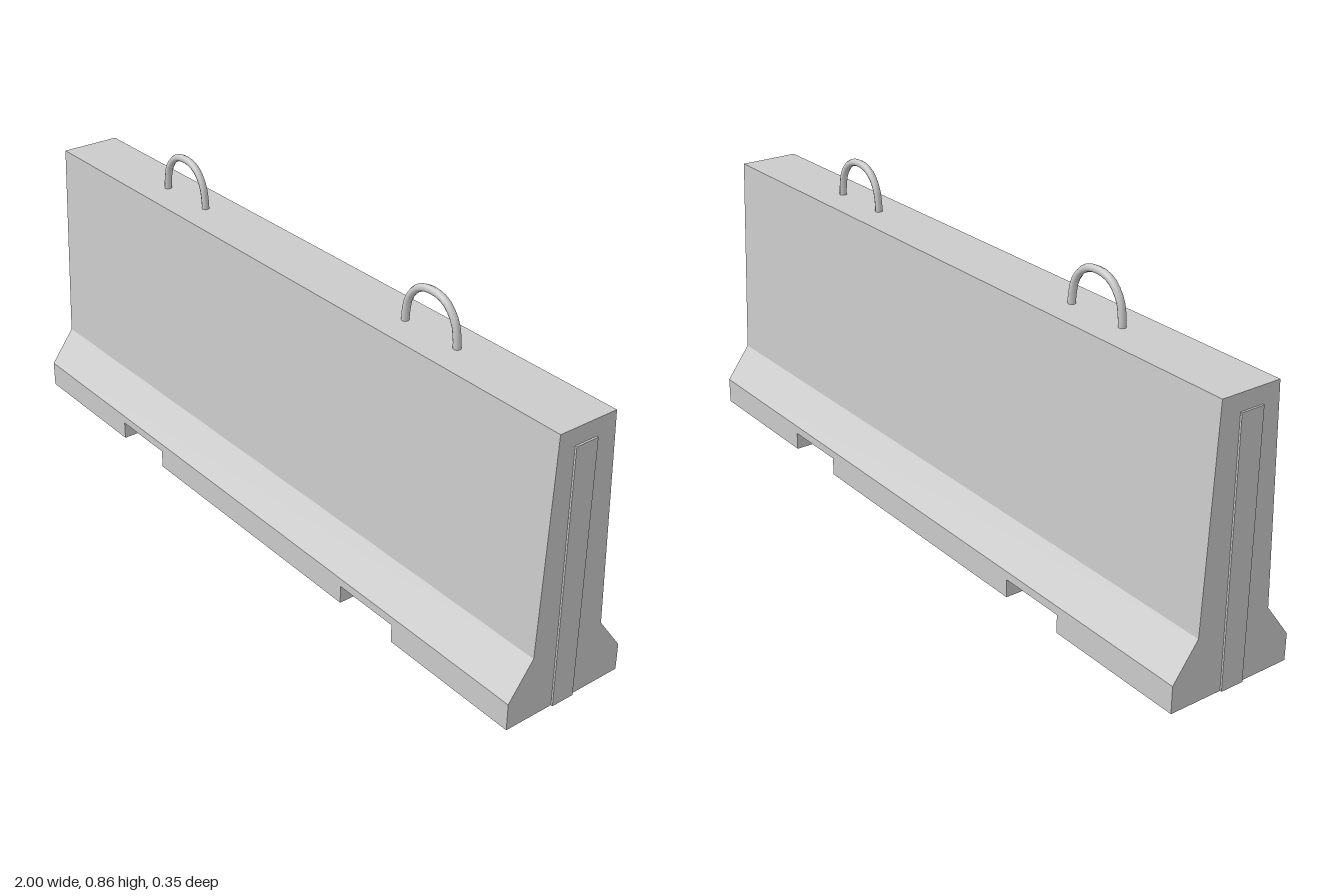
import * as THREE from 'three';

const material = new THREE.MeshStandardMaterial({ color: 0xcccccc });

function addMesh(parent, name, geometry, x = 0, y = 0, z = 0) {
  const mesh = new THREE.Mesh(geometry, material);
  mesh.name = name;
  mesh.position.set(x, y, z);
  parent.add(mesh);
  return mesh;
}

export function createModel() {
  const group = new THREE.Group();
  group.name = 'concreteBarrier';
  const halfLength = 0.995, notchHeight = 0.05, baseHalf = 0.177;

  // Barrier wall: half profile (z, y), mirrored and swept along x
  const half = [[baseHalf, notchHeight], [baseHalf, 0.073], [0.107, 0.168], [0.084, 0.741]];
  const outline = [...half, ...half.map(([z, y]) => [-z, y]).reverse()];
  const profile = new THREE.Shape(outline.map(([z, y]) => new THREE.Vector2(z, y)));
  const wall = new THREE.ExtrudeGeometry(profile, { depth: 2 * halfLength, bevelEnabled: false });
  wall.translate(0, 0, -halfLength).rotateY(Math.PI / 2);
  addMesh(group, 'wall', wall);

  // Feet, leaving two lifting notches between them
  for (const [name, x0, x1] of [
    ['rightFoot', -halfLength, -0.595], ['middleFoot', -0.4, 0.4], ['leftFoot', 0.595, halfLength],
  ]) {
    addMesh(group, name, new THREE.BoxGeometry(x1 - x0, notchHeight, 2 * baseHalf),
      (x0 + x1) / 2, notchHeight / 2, 0);
  }

  // Lifting loop path, slightly splayed at the legs
  const arch = [[0.09, 0.72], [0.088, 0.765], [0.078, 0.805], [0.046, 0.841]];
  const path = new THREE.CatmullRomCurve3(
    [...arch.map(([x, y]) => [-x, y]), [0, 0.852], ...arch.slice().reverse()]
      .map(([x, y]) => new THREE.Vector3(x, y, 0)));
  const loop = new THREE.TubeGeometry(path, 20, 0.01, 8);

  for (const [side, s] of [['left', 1], ['right', -1]]) {
    addMesh(group, side + 'LiftingLoop', loop, s * 0.497, 0, 0);
    // Raised joint strip on each end
    addMesh(group, side + 'JointStrip', new THREE.BoxGeometry(0.02, 0.696, 0.065),
      s * 0.99, 0.348, 0.004);
  }
  return group;
}
